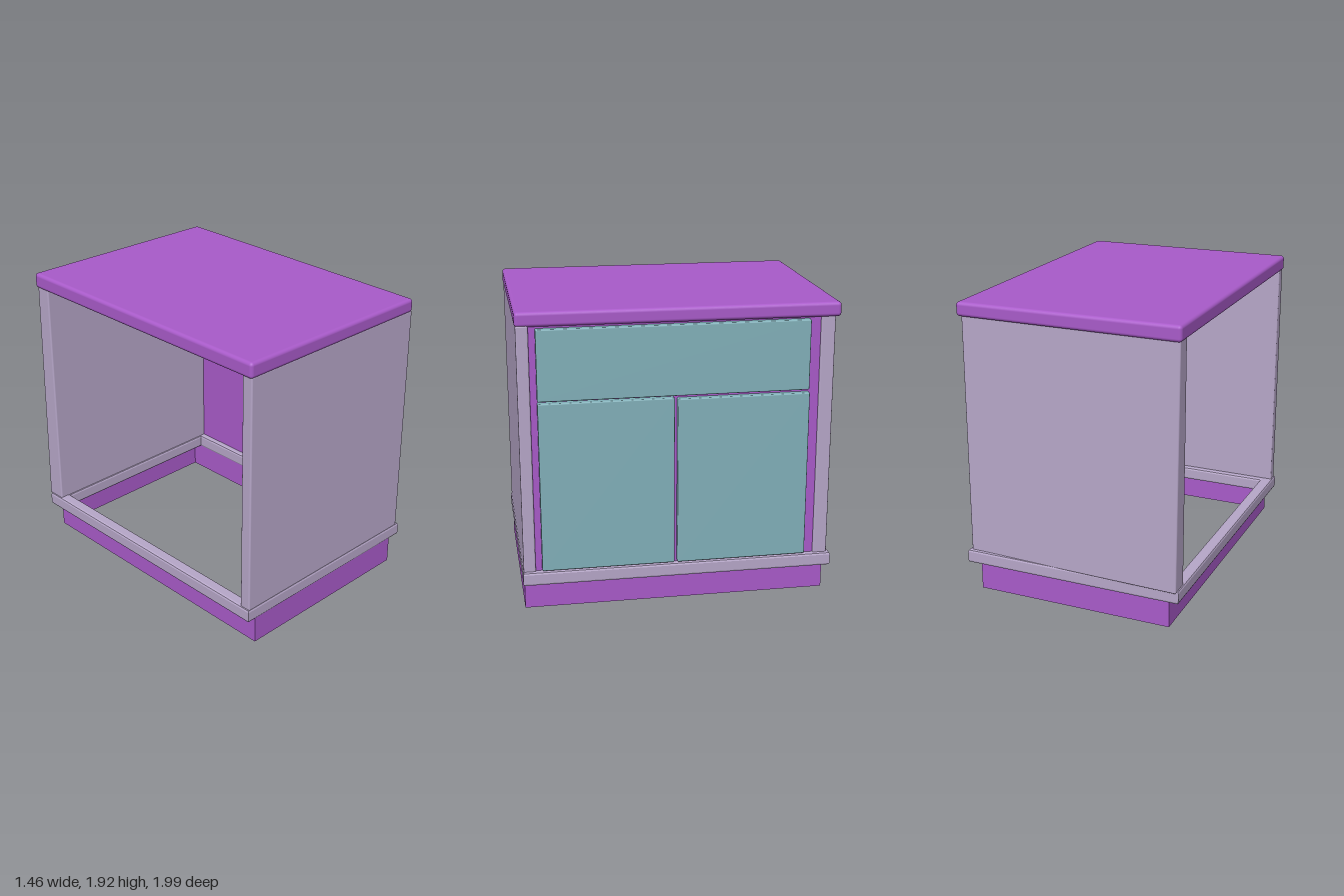
import * as THREE from 'three';
import { RoundedBoxGeometry } from 'three/addons/geometries/RoundedBoxGeometry.js';

const purple = new THREE.MeshStandardMaterial({ color: 0xa95bca });
const purpleSheet = new THREE.MeshStandardMaterial({ color: 0xa95bca, side: THREE.DoubleSide });
const lilac = new THREE.MeshStandardMaterial({ color: 0xb7a7c9 });
const teal = new THREE.MeshStandardMaterial({ color: 0x82b1ba });

// Softly rounded slab between two corners, optionally reshaped by a rule on its vertices
function slab(name, [x0, y0, z0], [x1, y1, z1], radius, material, rule) {
  const geometry = new RoundedBoxGeometry(x1 - x0, y1 - y0, z1 - z0, 3, radius);
  geometry.translate((x0 + x1) / 2, (y0 + y1) / 2, (z0 + z1) / 2);
  if (rule) {
    const p = geometry.attributes.position;
    const v = new THREE.Vector3();
    for (let i = 0; i < p.count; i++) {
      rule(v.fromBufferAttribute(p, i));
      p.setXYZ(i, v.x, v.y, v.z);
    }
  }
  const mesh = new THREE.Mesh(geometry, material);
  mesh.name = name;
  return mesh;
}

// Clockwise or counter-clockwise rectangle as a list of points
function rectangle(x0, z0, x1, z1) {
  return [[x0, z0], [x1, z0], [x1, z1], [x0, z1]].map(([x, z]) => new THREE.Vector2(x, z));
}

// Horizontal rectangular ring between two heights
function ring(name, outer, inner, y0, y1, bevel, material) {
  const shape = new THREE.Shape(outer);
  shape.holes.push(new THREE.Path(inner));
  const geometry = new THREE.ExtrudeGeometry(shape, {
    depth: y1 - y0 - 2 * bevel, bevelEnabled: bevel > 0,
    bevelThickness: bevel, bevelSize: bevel, bevelOffset: -bevel, bevelSegments: 2,
  });
  geometry.rotateX(Math.PI / 2).translate(0, y1 - bevel, 0);
  const mesh = new THREE.Mesh(geometry, material);
  mesh.name = name;
  return mesh;
}

export function createModel() {
  const group = new THREE.Group();
  group.name = 'cabinet';

  // Hollow plinth and the moulding that rests on it
  group.add(ring('plinth', rectangle(-0.66, -0.95, 0.64, 0.98),
    rectangle(-0.65, -0.94, 0.63, 0.97), 0, 0.19, 0, purpleSheet));
  group.add(ring('baseMoulding', rectangle(-0.73, -0.98, 0.72, 0.99),
    rectangle(-0.65, -0.86, 0.62, 0.87), 0.18, 0.27, 0.015, lilac));

  // Worktop: a little lower on the door side and flared at its rear corner
  group.add(slab('worktop', [-0.73, 1.82, -0.99], [0.7, 1.92, 0.99], 0.022, purple, (v) => {
    if (v.x > 0) {
      if (v.z < 0) v.x += 0.02;
      v.y -= v.y > 1.87 ? 0.01 : 0;
    }
  }));

  // Side panels; the rear one leans outward towards its lower open edge
  group.add(slab('sidePanelFront', [-0.72, 0.26, 0.91], [0.7, 1.83, 0.985], 0.01, lilac));
  group.add(slab('sidePanelRear', [-0.72, 0.26, -0.96], [0.7, 1.83, -0.87], 0.01, lilac, (v) => {
    if (v.z < -0.92 && v.x < 0) v.z -= v.y < 1 ? 0.04 : 0.015;
  }));

  // Thin face frame behind the fronts; the opposite side stays open
  group.add(slab('faceFrame', [0.66, 0.26, -0.88], [0.685, 1.83, 0.92], 0.002, purple));

  // Drawer front and two door fronts
  const fronts = [
    ['drawerFront', 1.37, 1.81, -0.8, 0.87],
    ['doorNear', 0.28, 1.358, 0.04, 0.87],
    ['doorFar', 0.28, 1.35, -0.805, 0.02],
  ];
  for (const [name, y0, y1, z0, z1] of fronts) {
    group.add(slab(name, [0.675, y0, z0], [0.728, y1, z1], 0.008, teal));
  }
  return group;
}
